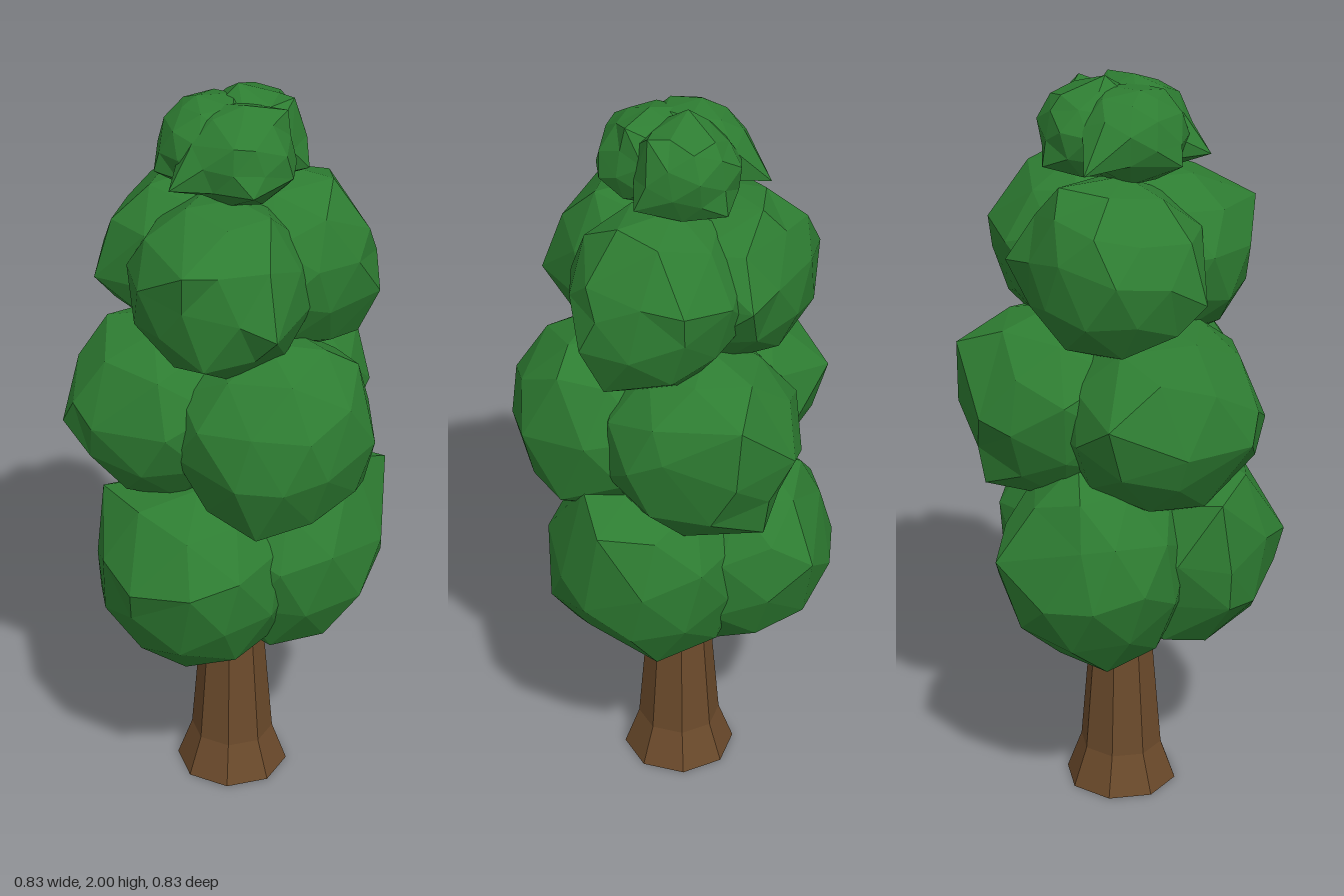
import * as THREE from 'three';
import { mergeVertices } from 'three/addons/utils/BufferGeometryUtils.js';

const leafGreen = new THREE.MeshStandardMaterial({ color: 0x2e7d32, flatShading: true });
leafGreen.name = 'leaf green';
const barkBrown = new THREE.MeshStandardMaterial({ color: 0x6b4a2b, flatShading: true });
barkBrown.name = 'bark brown';

// Small seeded random number maker
function seeded(seed) {
  let s = seed * 7919 + 17;
  return () => (s = (s * 16807) % 2147483647) / 2147483647;
}

// Faceted leaf clump: a once-divided icosahedron with uneven corners,
// whose nearest free corners are pulled out to the given tips
function clump(name, { at, size, tips }, seed, rough) {
  const ball = new THREE.IcosahedronGeometry(1, 1);
  ball.deleteAttribute('normal');
  ball.deleteAttribute('uv');
  const geo = mergeVertices(ball);
  const pos = geo.attributes.position;
  const random = seeded(seed);
  const turn = new THREE.Euler(seed * 1.3, seed * 2.1, seed * 0.7);
  const centre = new THREE.Vector3(...at);
  const radii = new THREE.Vector3(...size);
  const corners = [];
  for (let i = 0; i < pos.count; i++) {
    const v = new THREE.Vector3().fromBufferAttribute(pos, i).applyEuler(turn);
    corners.push(v.multiplyScalar(1.01 + rough * (random() - 0.5)).multiply(radii));
  }
  const free = new Set(corners);
  for (const tip of tips) {
    const t = new THREE.Vector3(...tip).sub(centre);
    const nearest = [...free].reduce((a, b) => (b.angleTo(t) < a.angleTo(t) ? b : a));
    nearest.copy(t);
    free.delete(nearest);
  }
  corners.forEach((v, i) => pos.setXYZ(i, v.x, v.y, v.z));
  const faceted = geo.toNonIndexed();
  faceted.computeVertexNormals();
  const mesh = new THREE.Mesh(faceted, leafGreen);
  mesh.name = name;
  mesh.position.copy(centre);
  return mesh;
}

// Four tiers of three clumps
const tiers = {
  lowerFoliage: [
    { at: [0.14, 0.73, 0], size: [0.26, 0.3, 0.27],
      tips: [[0.41, 0.95, -0.07], [0.41, 0.77, 0.06], [0.35, 0.6, 0.02], [0.22, 0.48, 0],
        [0.33, 1.01, 0.05]] },
    { at: [-0.07, 0.71, 0.14], size: [0.26, 0.28, 0.26],
      tips: [[-0.06, 0.77, 0.415], [-0.22, 0.75, 0.37], [-0.33, 0.62, 0.12],
        [-0.32, 0.92, 0.1], [-0.22, 0.48, 0.12], [-0.04, 0.43, 0.1]] },
    { at: [-0.08, 0.73, -0.14], size: [0.25, 0.29, 0.25],
      tips: [[-0.04, 0.78, -0.415], [-0.1, 0.5, -0.26], [-0.24, 0.85, -0.28]] },
  ],
  middleFoliage: [
    { at: [0.125, 1.13, 0.13], size: [0.265, 0.265, 0.255],
      tips: [[0.39, 1.14, 0.2], [0.28, 1.1, 0.34], [0.05, 1.08, 0.385],
        [0.34, 1.32, 0.12], [0.1, 0.91, 0.33], [0.36, 0.97, 0.1]] },
    { at: [-0.155, 1.14, 0.02], size: [0.26, 0.265, 0.265],
      tips: [[-0.418, 1.12, 0.12], [-0.41, 1.12, -0.07], [-0.31, 1.38, 0.02],
        [-0.31, 1.2, -0.24], [-0.31, 0.93, 0.05], [-0.33, 1.15, 0.22]] },
    { at: [0.09, 1.14, -0.14], size: [0.265, 0.265, 0.255],
      tips: [[0.04, 1.15, -0.41], [0.21, 1.3, -0.375], [0.33, 1.2, -0.22], [0.1, 0.94, -0.36]] },
  ],
  upperFoliage: [
    { at: [0.135, 1.54, -0.04], size: [0.235, 0.24, 0.225],
      tips: [[0.385, 1.47, 0], [0.355, 1.64, 0], [0.26, 1.765, -0.02], [0.27, 1.6, -0.24],
        [0.33, 1.34, -0.03]] },
    { at: [-0.01, 1.53, 0.12], size: [0.23, 0.235, 0.23],
      tips: [[0.15, 1.48, 0.34], [-0.08, 1.65, 0.355], [-0.03, 1.39, 0.34],
        [0.12, 1.74, 0.18]] },
    { at: [-0.09, 1.54, -0.08], size: [0.24, 0.235, 0.23],
      tips: [[-0.34, 1.49, 0.03], [-0.27, 1.65, -0.12], [-0.16, 1.6, -0.29],
        [0.08, 1.55, -0.3], [-0.05, 1.76, -0.22]] },
  ],
  crownFoliage: [
    { at: [0.03, 1.855, 0.06], size: [0.145, 0.125, 0.14],
      tips: [[0.08, 1.8, 0.21], [0.17, 1.82, 0.12], [-0.13, 1.8, 0.18], [0.15, 1.97, 0.05],
        [0.03, 1.92, 0.19]] },
    { at: [-0.045, 1.86, 0], size: [0.13, 0.125, 0.145],
      tips: [[-0.18, 1.8, 0.06], [-0.16, 1.92, 0], [-0.08, 1.98, 0], [-0.12, 1.8, -0.19]] },
    { at: [0.05, 1.86, -0.06], size: [0.135, 0.125, 0.135],
      tips: [[0.06, 1.78, -0.2], [0.2, 1.79, -0.02], [0.16, 1.97, -0.03], [0.02, 2, -0.04],
        [0.05, 1.96, -0.15]] },
  ],
};

export function createModel() {
  const tree = new THREE.Group();
  tree.name = 'tree';

  // Eight-sided trunk with a flared foot
  const profile = [[0, 0], [0.152, 0], [0.112, 0.11], [0.08, 0.5], [0, 0.5]];
  const trunk = new THREE.Mesh(
    new THREE.LatheGeometry(profile.map((p) => new THREE.Vector2(...p)), 8), barkBrown);
  trunk.name = 'trunk';
  trunk.position.x = 0.01;
  tree.add(trunk);

  // Foliage, tier by tier
  let seed = 1;
  for (const [name, clumps] of Object.entries(tiers)) {
    const tier = new THREE.Group();
    tier.name = name;
    clumps.forEach((c, i) => tier.add(clump(`${name}Clump${i + 1}`, c, seed++, 0.08)));
    tree.add(tier);
  }
  return tree;
}
